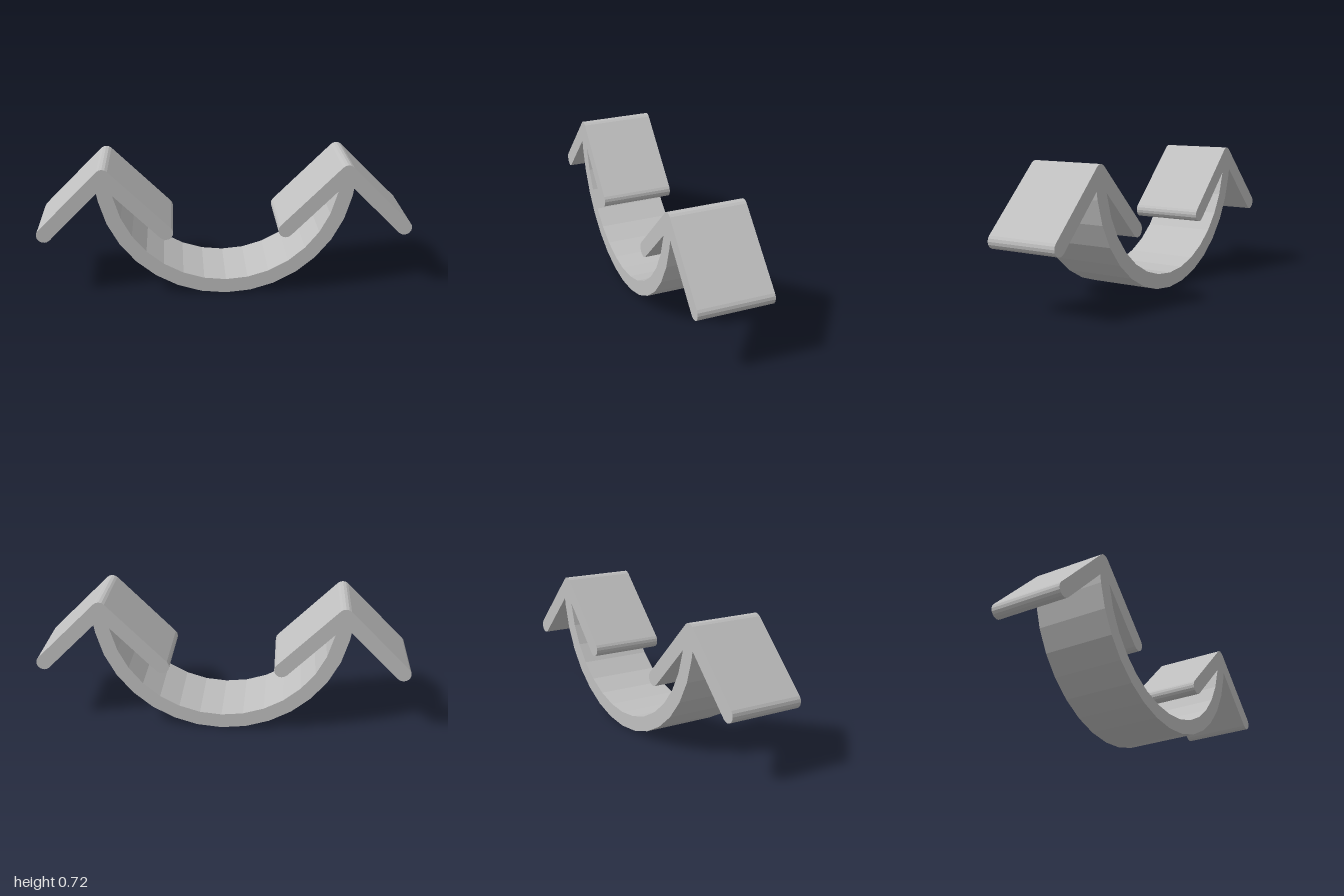
import * as THREE from 'three';

const DEPTH = 0.4;
const CENTRE_Y = 0.68; // height of the arc centre and of the arrow apex
const OUTER_R = 0.68, INNER_R = 0.6;
const CAP_R = 0.04;
const OUTER_JOIN = [0.674, 0.59], INNER_JOIN = [0.592, 0.576]; // where the bow meets the arrowhead

// Points on a circular arc, angles in degrees
function arc(cx, cy, r, from, to, segments) {
  return Array.from({ length: segments + 1 }, (_, i) => {
    const a = THREE.MathUtils.degToRad(from + ((to - from) * i) / segments);
    return [cx + r * Math.cos(a), cy + r * Math.sin(a)];
  });
}

const mirror = (points) => points.map(([x, y]) => [-x, y]).reverse();

export function createModel() {
  const group = new THREE.Group();
  const grey = new THREE.MeshStandardMaterial({ color: 0xc0c0c0 });
  grey.name = 'plain grey';

  function addPart(name, points) {
    const shape = new THREE.Shape(points.map(([x, y]) => new THREE.Vector2(x, y)));
    const geometry = new THREE.ExtrudeGeometry(shape, { depth: DEPTH, bevelEnabled: false });
    geometry.translate(0, 0, -DEPTH / 2);
    const mesh = new THREE.Mesh(geometry, grey);
    mesh.name = name;
    group.add(mesh);
  }

  // Curved band, faceted, ending at the undersides of the arrowheads
  const outer = arc(0, CENTRE_Y, OUTER_R, -168.75, -11.25, 14);
  const inner = arc(0, CENTRE_Y, INNER_R, -11.25, -168.75, 14);
  addPart('curvedBand', [
    ...outer, OUTER_JOIN, INNER_JOIN, ...inner,
    ...mirror([OUTER_JOIN, INNER_JOIN]),
  ]);

  // Arrowheads: two round-ended arms meeting at a rounded apex
  const arrow = [
    OUTER_JOIN,
    ...arc(0.96, 0.36, CAP_R, 225, 405, 8),
    ...arc(0.64, CENTRE_Y, CAP_R, 45, 135, 4),
    ...arc(0.32, 0.36, CAP_R, 135, 315, 8),
    INNER_JOIN,
  ];
  addPart('leftArrowhead', arrow);
  addPart('rightArrowhead', mirror(arrow));

  return group;
}
